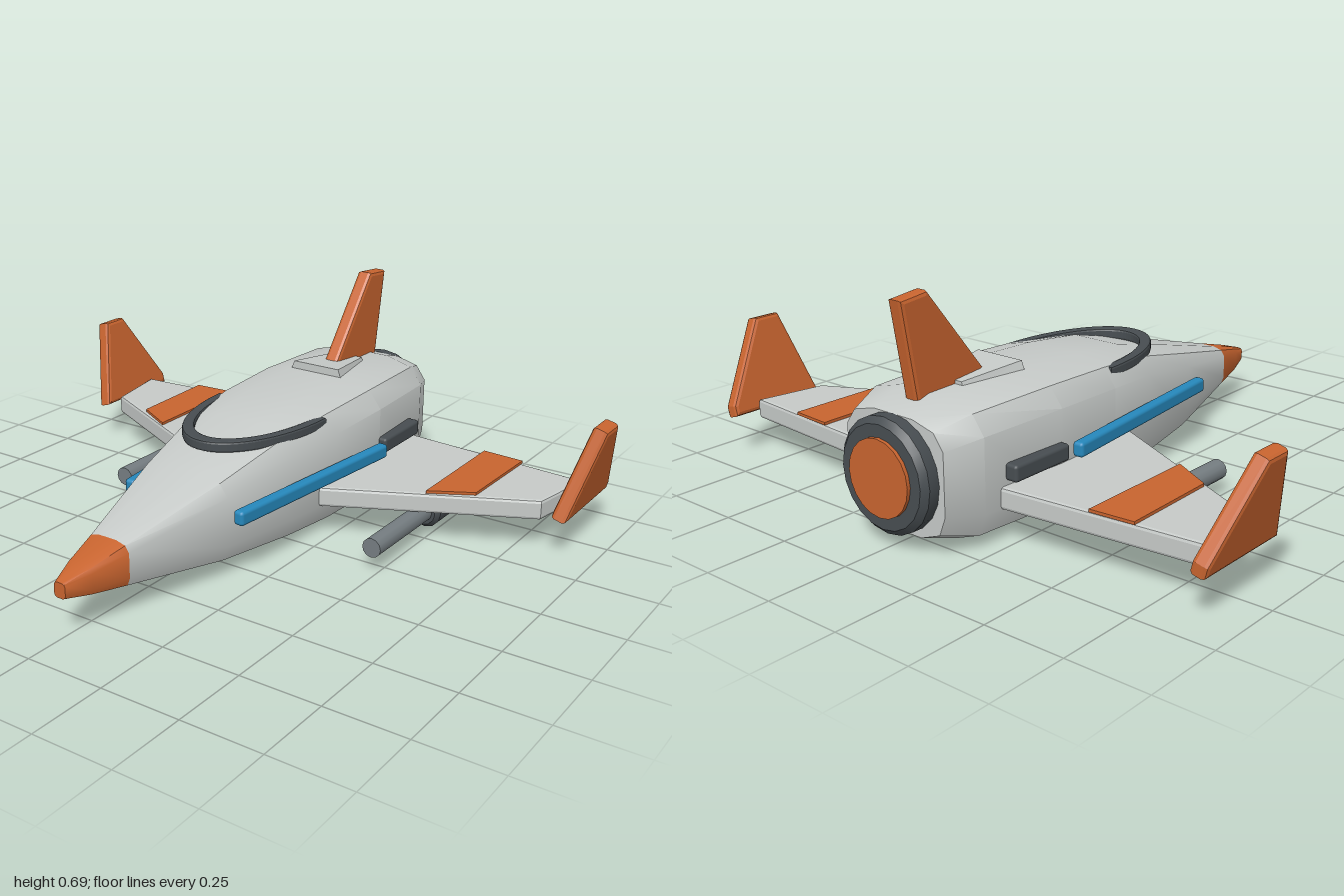
import * as THREE from 'three';
import { toCreasedNormals } from 'three/addons/utils/BufferGeometryUtils.js';
import { RoundedBoxGeometry } from 'three/addons/geometries/RoundedBoxGeometry.js';

const paint = (name, color) => {
  const m = new THREE.MeshStandardMaterial({ color });
  m.name = name;
  return m;
};

// Half cross-section of the hull: [fraction of half width, fraction of height]
const SECTION = [[0.5, 0], [0.88, 0.08], [1, 0.25], [1, 0.8], [0.82, 0.94], [0.4, 1]];

// Skin through stations [z, half width, bottom, top], ordered back to front
function loft(stations) {
  const ring = [...SECTION, ...SECTION.map(([x, y]) => [-x, y]).reverse()];
  const n = ring.length, pos = [], idx = [];
  for (const [z, w, lo, hi] of stations)
    for (const [x, t] of ring) pos.push(x * w, lo + t * (hi - lo), z);
  for (let i = 0; i < stations.length - 1; i++)
    for (let j = 0; j < n; j++) {
      const a = i * n + j, b = i * n + (j + 1) % n;
      idx.push(a, b, b + n, a, b + n, a + n);
    }
  const last = (stations.length - 1) * n;
  for (let j = 1; j < n - 1; j++) idx.push(0, j + 1, j, last, last + j, last + j + 1);
  const g = new THREE.BufferGeometry();
  g.setAttribute('position', new THREE.Float32BufferAttribute(pos, 3));
  g.setIndex(idx);
  return toCreasedNormals(g, 0.65);
}

function extrude(shape, thickness, bevel) {
  return new THREE.ExtrudeGeometry(shape, {
    depth: thickness - 2 * bevel, bevelEnabled: bevel > 0, bevelSize: bevel,
    bevelThickness: bevel, bevelOffset: -bevel, bevelSegments: 2, curveSegments: 24,
  }).translate(0, 0, bevel);
}

// Flat plate from [x, z] points, rising from y
const plate = (pts, y, thickness, bevel) =>
  extrude(new THREE.Shape(pts.map(([x, z]) => new THREE.Vector2(x, -z))), thickness, bevel)
    .rotateX(-Math.PI / 2).translate(0, y, 0);

// Upright fin from [z, y] points, centred on x = 0
const fin = (pts, thickness, bevel) =>
  extrude(new THREE.Shape(pts.map(([z, y]) => new THREE.Vector2(-z, y))), thickness, bevel)
    .translate(0, 0, -thickness / 2).rotateY(Math.PI / 2);

// Round body along z from [radius, z] points, back to front
const turned = (pts, sides) => toCreasedNormals(
  new THREE.LatheGeometry(pts.map(([r, z]) => new THREE.Vector2(r, z)), sides).rotateX(Math.PI / 2), 0.6);

export function createModel() {
  const model = new THREE.Group();
  model.name = 'spaceplane';
  const light = paint('light grey', 0xc6cac8);
  const orange = paint('orange', 0xc8642f);
  const dark = paint('dark grey', 0x474d51);
  const steel = paint('steel grey', 0x757d81);
  const blue = paint('blue', 0x2688bc);
  const add = (name, geometry, material, parent = model) => {
    const mesh = new THREE.Mesh(geometry, material);
    mesh.name = name;
    parent.add(mesh);
    return mesh;
  };

  // Hull and nose cone
  const noseBase = [0.67, 0.075, 0.088, 0.227];
  add('hull', loft([
    [-0.81, 0.185, 0.045, 0.378], [-0.7, 0.228, 0.012, 0.412], [-0.4, 0.243, 0.004, 0.417],
    [-0.15, 0.235, 0.006, 0.408], [0.05, 0.211, 0.014, 0.388], [0.33, 0.162, 0.037, 0.318], noseBase,
  ]), light);
  add('noseCone', loft([noseBase, [0.79, 0.047, 0.108, 0.196], [0.87, 0.02, 0.125, 0.172]]), orange);

  // Canopy frame: a half ellipse band around the cockpit
  const frame = new THREE.Shape();
  frame.absellipse(0, 0.13, 0.205, 0.38, Math.PI, 2 * Math.PI, false);
  frame.absellipse(0, 0.13, 0.172, 0.335, 2 * Math.PI, Math.PI, true);
  frame.closePath();
  add('canopyFrame', extrude(frame, 0.034, 0.007).rotateX(-Math.PI / 2).translate(0, 0.347, 0), dark);

  // Dorsal fairing and tail fin
  add('dorsalFairing', fin([[-0.39, 0.39], [-0.39, 0.442], [-0.6, 0.424], [-0.6, 0.39]], 0.2, 0), light);
  const fairing = model.children[model.children.length - 1].geometry.attributes.position;
  for (let i = 0; i < fairing.count; i++) {
    const narrow = fairing.getZ(i) < -0.5 ? 0.6 : 1;
    fairing.setX(i, fairing.getX(i) * narrow * (fairing.getY(i) > 0.41 ? 0.85 : 1.05));
  }
  fairing.needsUpdate = true;
  model.children[model.children.length - 1].geometry.computeVertexNormals();
  add('tailFin', fin([[-0.47, 0.4], [-0.48, 0.43], [-0.69, 0.695], [-0.79, 0.685], [-0.74, 0.39]], 0.052, 0.012), orange);

  // Engine collar and exhaust
  const engine = new THREE.Group();
  engine.name = 'engine';
  engine.position.y = 0.212;
  model.add(engine);
  add('engineCollar', turned([[0, -0.862], [0.15, -0.862], [0.168, -0.845], [0.168, -0.81], [0.15, -0.79], [0, -0.79]].reverse()
    .reverse(), 20), dark, engine);
  add('exhaust', new THREE.CylinderGeometry(0.113, 0.113, 0.03, 20).rotateX(Math.PI / 2).translate(0, 0, -0.858), orange, engine);

  for (const s of [1, -1]) {
    const side = new THREE.Group();
    side.name = s > 0 ? 'leftSide' : 'rightSide';
    model.add(side);
    const mirror = (pts) => pts.map(([x, z]) => [s * x, z]);

    // Wing with its painted band
    add('wing', plate(mirror([[0.1, 0], [0.235, -0.07], [0.83, -0.365], [0.87, -0.59], [0.235, -0.643], [0.1, -0.655]]),
      0.108, 0.065, 0.01), light, side);
    add('wingBand', plate(mirror([[0.515, -0.215], [0.648, -0.29], [0.655, -0.61], [0.515, -0.62]]), 0.173, 0.009, 0), orange, side);

    // Canted winglet
    const winglet = add('winglet', fin([[-0.345, 0], [-0.435, 0.29], [-0.525, 0.29], [-0.678, 0.035], [-0.678, 0]],
      0.05, 0.012), orange, side);
    winglet.position.set(s * 0.892, 0.13, 0);
    winglet.rotation.z = -s * 0.26;

    // Blue side rail and the dark vent behind it
    const rail = add('sideRail', new RoundedBoxGeometry(0.036, 0.046, 0.715, 2, 0.011), blue, side);
    rail.position.set(s * 0.238, 0.211, -0.018);
    rail.rotation.y = -s * 0.103;
    add('sideVent', new RoundedBoxGeometry(0.06, 0.05, 0.225, 2, 0.01), dark, side).position.set(s * 0.24, 0.212, -0.51);

    // Underwing cannon
    const cannon = new THREE.Group();
    cannon.name = 'cannon';
    cannon.position.set(s * 0.475, 0.077, 0);
    side.add(cannon);
    add('barrel', new THREE.CylinderGeometry(0.031, 0.031, 0.36, 12).rotateX(Math.PI / 2).translate(0, 0, -0.14), steel, cannon);
    add('cannonPod', turned([[0, -0.432], [0.042, -0.432], [0.055, -0.418], [0.055, -0.295], [0.042, -0.28], [0, -0.28]], 12), dark, cannon);
  }
  return model;
}
